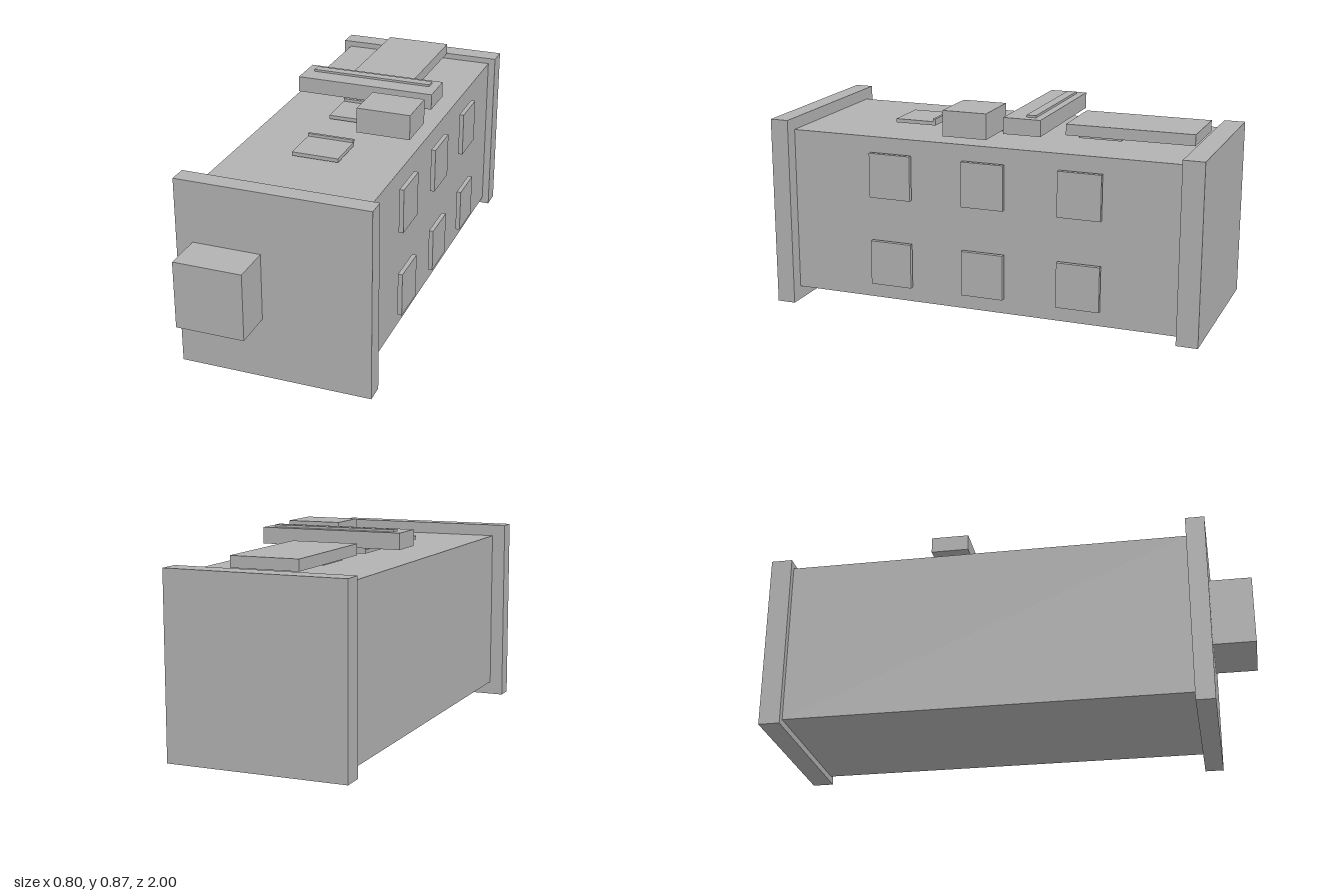
import * as THREE from 'three';

export function createModel() {
  const group = new THREE.Group();
  const grey = new THREE.MeshStandardMaterial({ color: 0xb2b2b2 });
  grey.name = 'plain grey';

  // Box given by its extents along each axis
  function box(name, [x0, x1], [y0, y1], [z0, z1], parent = group) {
    const mesh = new THREE.Mesh(new THREE.BoxGeometry(x1 - x0, y1 - y0, z1 - z0), grey);
    mesh.position.set((x0 + x1) / 2, (y0 + y1) / 2, (z0 + z1) / 2);
    mesh.name = name;
    parent.add(mesh);
    return mesh;
  }

  // Main body with its end plates
  box('body', [-0.342, 0.342], [0.057, 0.75], [-0.912, 0.752]);
  box('frontPlate', [-0.4, 0.4], [0, 0.8], [0.752, 0.83]);
  box('backPlate', [-0.373, 0.373], [0.03, 0.775], [-1, -0.912]);
  box('frontBox', [-0.33, -0.047], [0.26, 0.542], [0.83, 1]);

  // Three rows of side panels, two high, and a roof hatch for each row
  for (const z of [0.305, -0.1, -0.507]) {
    const row = [z - 0.09, z + 0.09];
    for (const y of [0.217, 0.592]) {
      box('sidePanel', [0.353, 0.372], [y - 0.094, y + 0.094], row);
    }
    const hatch = new THREE.Group();
    hatch.name = 'roofHatch';
    box('hatchLid', [-0.098, 0.098], [0.759, 0.775], row, hatch);
    box('hatchRidge', [-0.098, 0.098], [0.775, 0.787], [z - 0.09, z - 0.078], hatch);
    group.add(hatch);
  }

  // Roof equipment
  box('roofSlab', [-0.141, 0.141], [0.776, 0.822], [-0.907, -0.375]);
  box('crossBar', [-0.3, 0.3], [0.798, 0.865], [-0.322, -0.165]);
  box('crossBarStrip', [-0.262, 0.262], [0.865, 0.874], [-0.29, -0.25]);
  box('roofBox', [0.065, 0.294], [0.765, 0.872], [-0.09, 0.099]);

  return group;
}
